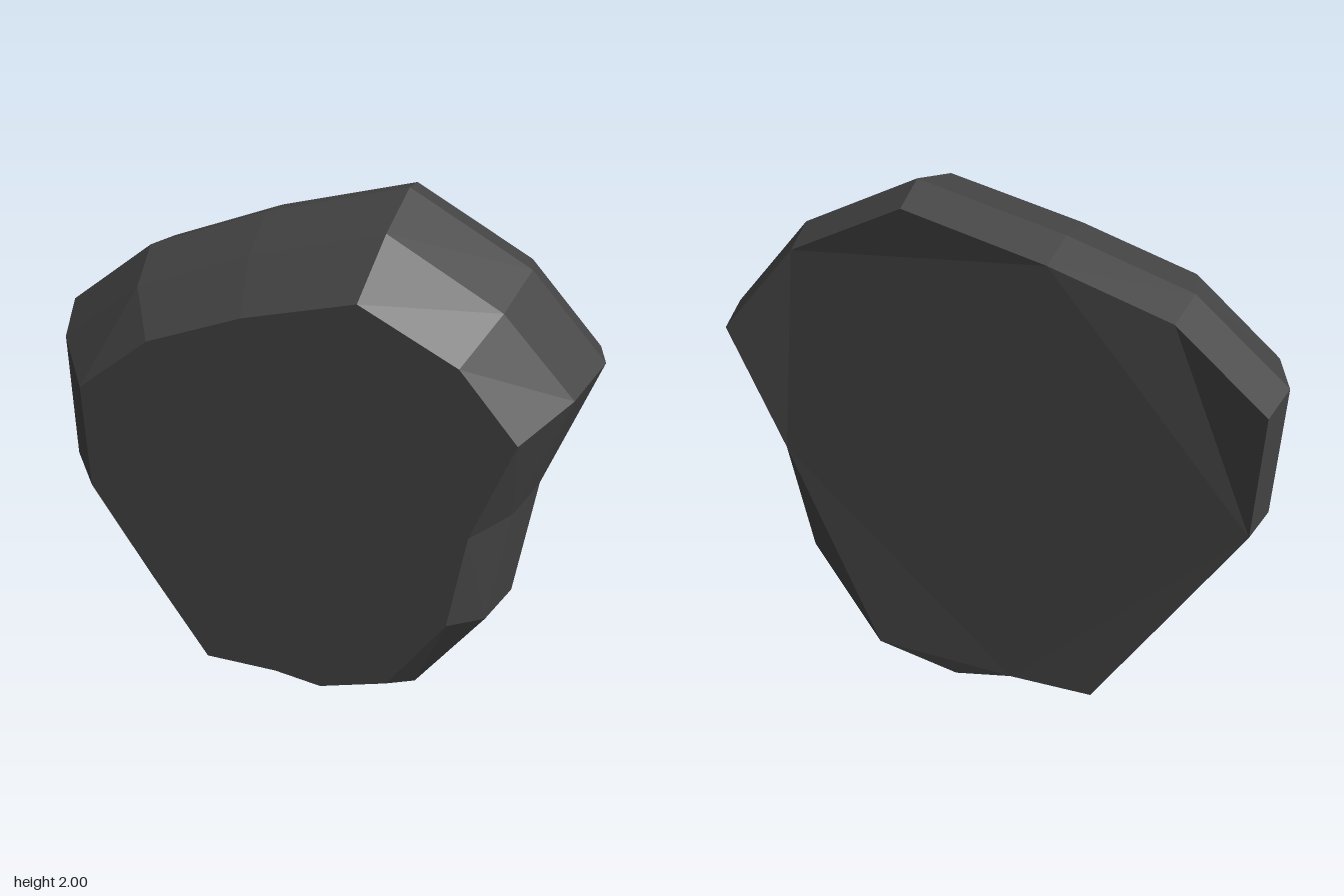
import * as THREE from 'three';

// Rim points, clockwise: front face x, y; widest ring x, y, z; shoulder z; back z
const RIM = [
  [-0.77, 1.335, -1, 1.45, -0.155, 0.10, -0.335],
  [-0.51, 1.54, -0.66, 1.715, -0.11, 0.145, -0.29],
  [-0.17, 1.665, -0.23, 1.87, -0.14, 0.115, -0.315],
  [0.225, 1.76, 0.28, 2.0, -0.15, 0.105, -0.32],
  [0.565, 1.575, 0.72, 1.765, -0.11, 0.145, -0.285],
  [0.77, 1.325, 0.99, 1.435, -0.155, 0.10, -0.33],
  [0.625, 0.95, 0.80, 0.94, -0.14, 0.12, -0.31],
  [0.565, 0.58, 0.73, 0.48, -0.11, 0.155, -0.285],
  [0.355, 0.285, 0.45, 0.09, -0.14, 0.12, -0.33],
  [0.105, 0.22, 0.13, 0.0, -0.14, 0.12, -0.315],
  [-0.07, 0.255, -0.10, 0.05, -0.14, 0.12, -0.315],
  [-0.335, 0.27, -0.435, 0.07, -0.14, 0.12, -0.335],
  [-0.545, 0.60, -0.70, 0.48, -0.12, 0.14, -0.29],
  [-0.755, 0.945, -0.975, 0.945, -0.14, 0.12, -0.31],
];
const FRONT_Z = 0.335;

function facetMesh(name, triangles, material) {
  const geometry = new THREE.BufferGeometry().setFromPoints(triangles);
  geometry.computeVertexNormals(); // unshared corners give flat facets
  const mesh = new THREE.Mesh(geometry, material);
  mesh.name = name;
  return mesh;
}

// Triangulates a ring in its xy outline, facing +z (dir 1) or -z (dir -1)
function capTriangles(ring, dir) {
  const outline = ring.map((p) => new THREE.Vector2(p.x, p.y));
  const out = [];
  for (const [i, j, k] of THREE.ShapeUtils.triangulateShape(outline, [])) {
    const ccw = THREE.ShapeUtils.area([outline[i], outline[j], outline[k]]) > 0;
    if (ccw === dir > 0) out.push(ring[i], ring[j], ring[k]);
    else out.push(ring[i], ring[k], ring[j]);
  }
  return out;
}

export function createModel() {
  const group = new THREE.Group();
  group.name = 'rockSlab';
  const stone = new THREE.MeshStandardMaterial({ color: 0x444444 });
  stone.name = 'dark stone';

  // Cross-section rings from the front face to the back face
  const V = (x, y, z) => new THREE.Vector3(x, y, z);
  const front = RIM.map(([x, y]) => V(x, y, FRONT_Z));
  const widest = RIM.map(([, , x, y, z]) => V(x, y, z));
  const shoulder = RIM.map((r, i) => front[i].clone().lerp(widest[i], 0.67).setZ(r[5]));
  const back = RIM.map((r, i) => V(widest[i].x * 0.965, 1 + (widest[i].y - 1) * 0.965, r[6]));
  const rings = [front, shoulder, widest, back];

  // Faceted sides
  const sides = [];
  for (let r = 0; r < rings.length - 1; r++) {
    const a = rings[r], b = rings[r + 1];
    for (let i = 0; i < a.length; i++) {
      const j = (i + 1) % a.length;
      sides.push(a[i], a[j], b[j], a[i], b[j], b[i]);
    }
  }
  group.add(facetMesh('slabSides', sides, stone));
  group.add(facetMesh('frontFace', capTriangles(front, 1), stone));
  group.add(facetMesh('backFace', capTriangles(back, -1), stone));
  return group;
}
